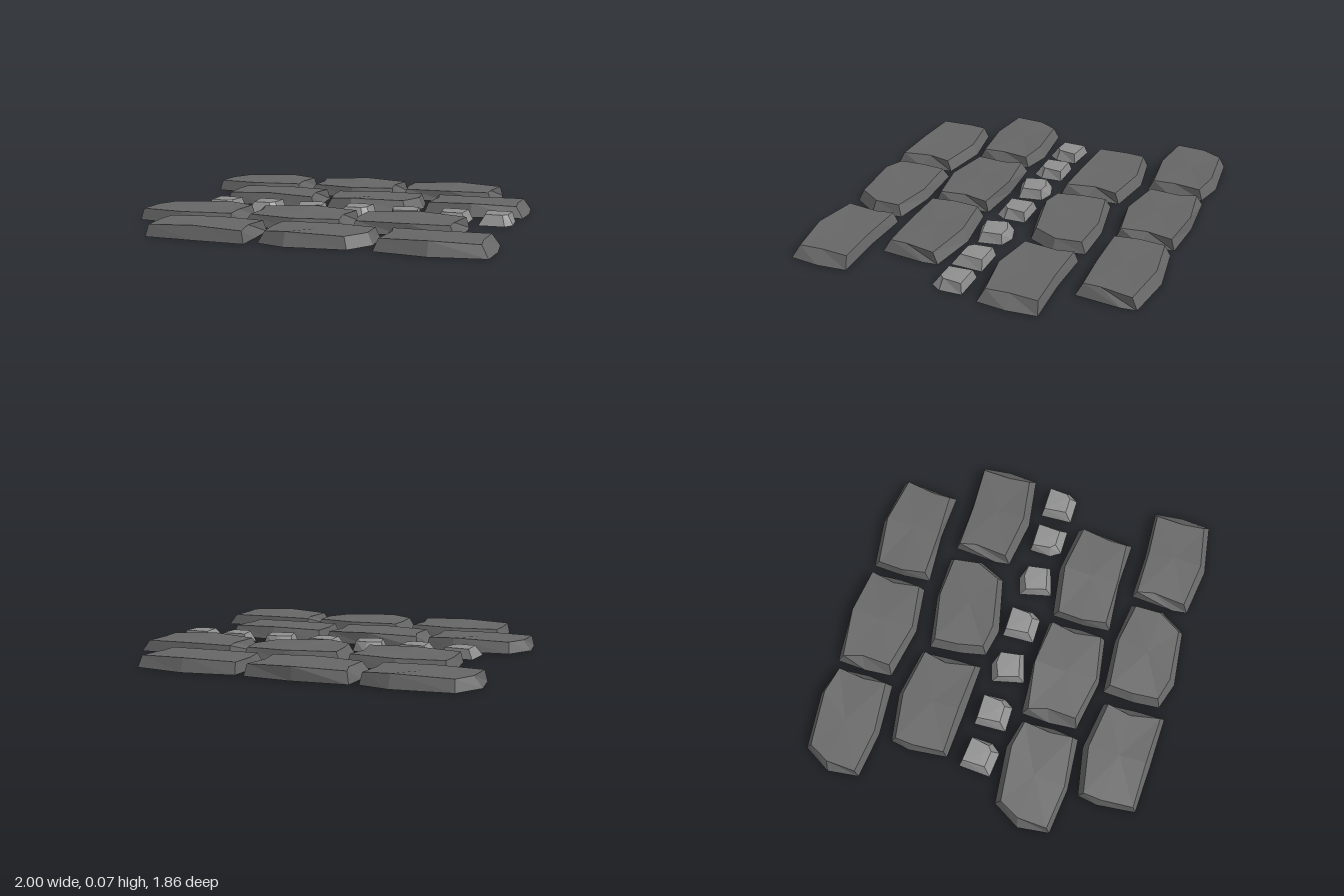
import * as THREE from 'three';

// outlines are [x, z] pairs in hundredths of a unit, around each stone's centre
const SLABS = {
  A: { at: [-0.72, -0.74], crest: 2,
    base: [[-28, -1], [-19, -16], [12, -19], [28, -15], [29, 3], [27, 17], [-1, 19], [-26, 16]],
    top: [[-24, -2], [-18, -13], [12, -16], [27, -13], [25, 2], [26, 14], [-1, 17], [-25, 14]] },
  B: { at: [-0.115, -0.735], crest: 1,
    base: [[-28, -17], [1, -19], [27, -17], [28, 1], [26, 15.5], [1, 19], [-28, 14], [-29, -1]],
    top: [[-26, -14], [1, -18], [26, -15], [23, -1], [25, 13], [1, 17], [-24, 12], [-23, -4]] },
  C: { at: [0.475, -0.75], crest: 1,
    base: [[-27, -15], [1, -19], [28, -15], [29, -7], [27, 17], [1, 16], [-27, 18], [-28, 3]],
    top: [[-26, -12], [1, -16], [27, -12], [24, 5], [24, 14], [1, 15], [-25, 15], [-27, 2]] },
  D: { at: [-0.485, -0.32], crest: 5,
    base: [[-26, -15.5], [0, -20], [27, -15.5], [28, 3], [28, 18.5], [0, 17.5], [-26, 16], [-28, -5]],
    top: [[-25, -13], [0, -17], [26, -13], [23, 0], [26, 16], [0, 14.5], [-25, 14], [-26, -3]] },
  E: { at: [0.12, -0.305], crest: 5,
    base: [[-27, -17.5], [3, -19], [27, -15.5], [28, 2], [19, 16], [-12, 19], [-27, 14], [-28, 0]],
    top: [[-24, -15], [3, -17], [25, -13], [25, 1], [17, 13.5], [-12, 15.5], [-24, 12], [-25, -2]] },
  F: { at: [0.715, -0.315], crest: 5,
    base: [[-27, -17], [-1, -16], [27, -17], [28.5, -1], [27, 15], [-1, 19], [-28, 15], [-29, 7]],
    top: [[-26, -15], [-1, -14.5], [23, -15.5], [22, 0], [23, 12], [-1, 15.5], [-26, 12], [-24, -6]] },
};

const COBBLES = {
  square: {
    base: [[-9, -9], [8.5, -9], [9, 3], [5.5, 8.5], [-8.5, 8.5]],
    top: [[-6.5, -8], [7, -8], [6, 2], [3.5, 4.5], [-5.5, 4.5]] },
  skewed: {
    base: [[-10, -7], [-0.5, -10], [7.5, -7.5], [10, 5.5], [-6, 10.5]],
    top: [[-8, -4], [-0.5, -7], [6, -6.5], [7.5, 4], [-5, 7]] },
};

// faceted shell, open below: sloping walls and a gently raised cap
function stoneGeometry({ base, top, crest = -1 }, height, lift, mirror = false) {
  const flip = (loop) => mirror ? loop.map(([x, z]) => [-x, z]).reverse() : loop;
  const ring = (loop, y) => flip(loop).map(([x, z], i) =>
    new THREE.Vector3(x / 100, y + (y > 0 && i === crest ? lift : 0), z / 100));
  const low = ring(base, 0), high = ring(top, height);
  const centre = new THREE.Vector3(0, height + lift * 0.4, 0);
  const points = [];
  low.forEach((a, i) => {
    const j = (i + 1) % low.length;
    points.push(a, high[i], high[j], a, high[j], low[j], centre, high[j], high[i]);
  });
  const geometry = new THREE.BufferGeometry().setFromPoints(points);
  geometry.computeVertexNormals();
  return geometry;
}

export function createModel() {
  const model = new THREE.Group();
  model.name = 'stonePaving';
  const stoneMaterial = (color) => new THREE.MeshStandardMaterial({
    color, flatShading: true, side: THREE.DoubleSide });
  const slabMaterial = stoneMaterial(0x666666);
  const cobbleMaterial = stoneMaterial(0x8f8f8f);

  const place = (group, name, geometry, material, x, z, turn = 0) => {
    const mesh = new THREE.Mesh(geometry, material);
    mesh.name = name;
    mesh.position.set(x, 0, z);
    mesh.rotation.y = turn;
    group.add(mesh);
  };

  // four staggered rows of large slabs, the back pair repeated in front
  const slabs = new THREE.Group();
  slabs.name = 'slabs';
  for (const [key, slab] of Object.entries(SLABS)) {
    const geometry = stoneGeometry(slab, 0.06, 0.01);
    const [x, z] = slab.at;
    const shift = 'ABC'.includes(key) ? 1.06 : key === 'E' ? 1.03 : 1.045;
    place(slabs, 'backSlab' + key, geometry, slabMaterial, x, z, key === 'E' ? 0.13 : 0);
    place(slabs, 'frontSlab' + key, geometry, slabMaterial, x, z + shift);
  }

  // middle row of small cobbles
  const cobbles = new THREE.Group();
  cobbles.name = 'cobbles';
  const square = stoneGeometry(COBBLES.square, 0.055, 0.004);
  const mirrored = stoneGeometry(COBBLES.square, 0.055, 0.004, true);
  const skewed = stoneGeometry(COBBLES.skewed, 0.055, 0.004);
  const row = [
    [square, -0.69, -0.1], [square, -0.435, 0], [skewed, -0.165, 0], [square, 0.1, 0],
    [skewed, 0.375, 0], [mirrored, 0.64, 0], [square, 0.875, 0],
  ];
  row.forEach(([geometry, x, turn], i) =>
    place(cobbles, 'cobble' + (i + 1), geometry, cobbleMaterial, x, 0.015, turn));

  model.add(slabs, cobbles);
  return model;
}
